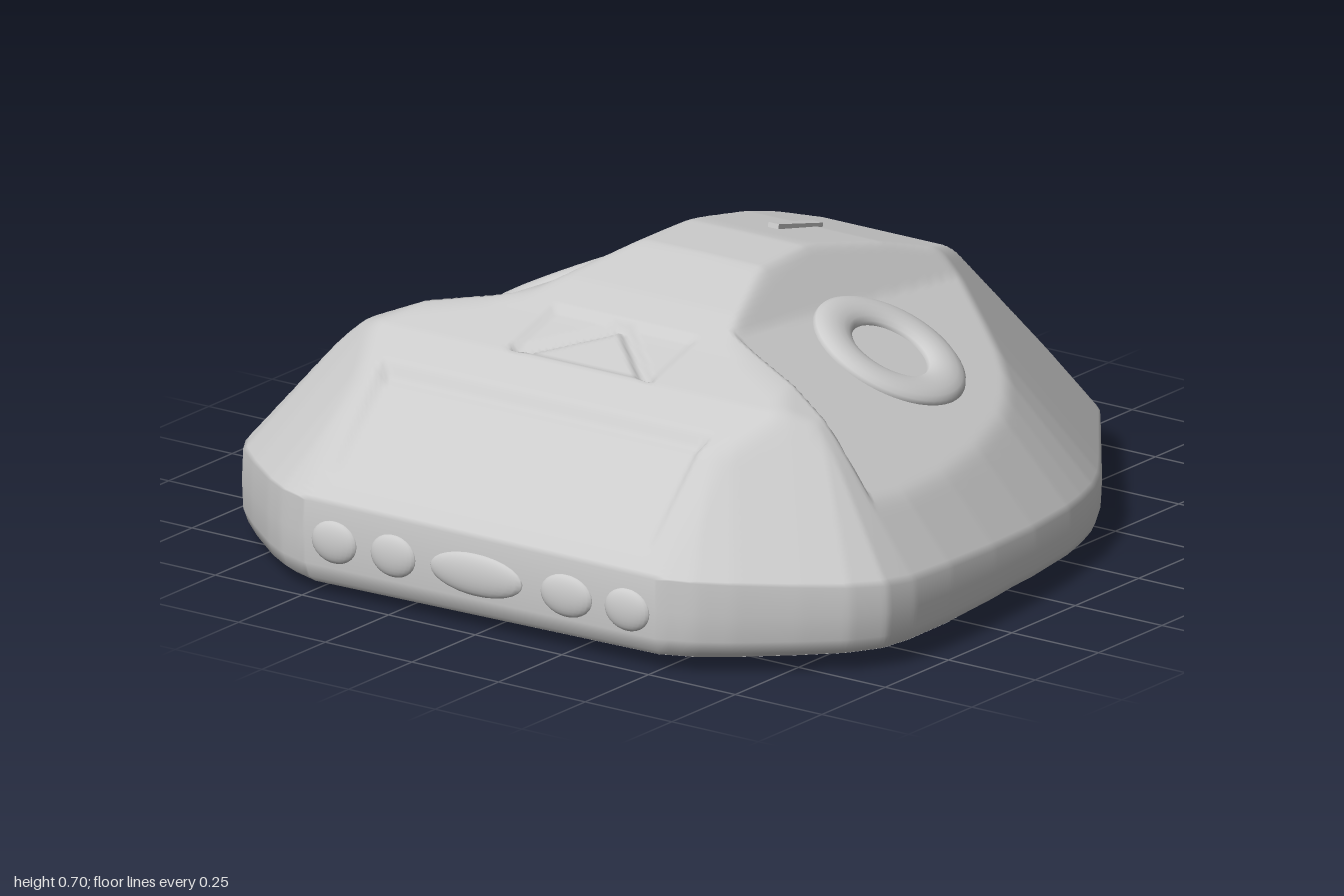
import * as THREE from 'three';

const mat = new THREE.MeshStandardMaterial({ color: 0xcccccc, side: THREE.DoubleSide });
const clamp01 = (v) => Math.min(1, Math.max(0, v));

// Piecewise linear curve through [input, output] pairs
function curve(points, t) {
  if (t <= points[0][0]) return points[0][1];
  for (let i = 1; i < points.length; i++) {
    const [a, va] = points[i - 1], [b, vb] = points[i];
    if (t <= b) return va + (vb - va) * (t - a) / (b - a);
  }
  return points[points.length - 1][1];
}

// Minimum with a softened crease
function softMin(a, b, k) {
  const h = Math.max(k - Math.abs(a - b), 0) / k;
  return Math.min(a, b) - h * h * k * 0.25;
}

// Half width of the footprint along z, ridge height along z, cap height along |x|
const WIDTH = [[-1, 0.32], [-0.985, 0.365], [-0.95, 0.4], [-0.9, 0.435], [-0.75, 0.54], [-0.6, 0.645],
  [-0.5, 0.712], [-0.4, 0.768], [-0.3, 0.808], [-0.2, 0.84], [0, 0.885], [0.2, 0.916], [0.4, 0.936],
  [0.55, 0.938], [0.64, 0.925], [0.72, 0.875], [0.8, 0.79], [0.9, 0.67], [0.95, 0.595], [0.982, 0.51]];
const RIDGE = [[-1, 0.1], [-0.67, 0.54], [-0.35, 0.64], [-0.08, 0.7], [0.1, 0.7], [0.3, 0.645],
  [0.45, 0.595], [0.6, 0.55], [0.75, 0.475], [0.982, 0.24]];
const CAP = [[0, 0.705], [0.17, 0.702], [0.3, 0.62], [0.38, 0.6], [0.53, 0.575], [0.65, 0.525],
  [0.75, 0.45], [0.94, 0.2]];
const Z0 = -1, Z1 = 0.982;
// The tail leans slightly to the right
const shift = (z) => curve([[-1, -0.025], [-0.5, -0.005], [-0.2, 0]], z);

const outline = [...WIDTH.map(([z, w]) => [shift(z) + w, z]),
  ...WIDTH.map(([z, w]) => [shift(z) - w, z]).reverse()];

function edgeDistance(x, z) {
  let best = Infinity;
  outline.forEach(([ax, az], i) => {
    const [bx, bz] = outline[(i + 1) % outline.length];
    const dx = bx - ax, dz = bz - az;
    const t = clamp01(((x - ax) * dx + (z - az) * dz) / (dx * dx + dz * dz));
    best = Math.min(best, Math.hypot(x - ax - dx * t, z - az - dz * t));
  });
  return best;
}

const rimY = (z) => curve([[-1, 0.1], [0, 0.16], [0.6, 0.2], [0.982, 0.23]], z);
const floorY = (x, z) => 0.03 + 0.013 * x - 0.02 * clamp01(1 - Math.abs(z + 0.4) / 0.5);
const eyeX = (side) => (side > 0 ? 0.43 : 0.47);
const scoopPlane = (x, z) => 0.5 - 0.53 * (Math.abs(x) - eyeX(x)) + 0.1 * (z + 0.04);
const boxMask = (x, z, x0, x1, z0, z1, soft) =>
  clamp01(Math.min(x - x0, x1 - x, z - z0, z1 - z) / soft);

// Height of the upper surface
function height(x, z) {
  const ax = Math.abs(x);
  let y = softMin(curve(RIDGE, z), curve(CAP, ax), 0.015);
  y = softMin(y, rimY(z) + 1.22 * edgeDistance(x, z), 0.025);
  // sunken eye planes, steeper beside the ridge and ending in a step at the brow
  const brow = 0.38 + 0.33 * (ax - 0.35);
  const scoop = scoopPlane(x, z) + 0.5 * Math.max(0, 0.28 - ax) + 3 * Math.max(0, z - brow);
  y = softMin(y, scoop, 0.012);
  // front panel recess, deepest at its top edge
  y -= curve([[0.7, 0.024], [0.93, 0.008]], z) * boxMask(x, z, -0.475, 0.465, 0.7, 0.94, 0.02);
  // relief of three triangles
  const groove = clamp01(1.5 - Math.abs(ax - 1.1 * (z - 0.41)) / 0.02);
  y -= boxMask(x, z, -0.21, 0.21, 0.4, 0.59, 0.015) * (0.01 + 0.014 * groove);
  return y;
}

function buildBody() {
  const NX = 144, NZ = 200, pos = [], idx = [];
  for (let j = 0; j <= NZ; j++) {
    const z = Z0 + (Z1 - Z0) * j / NZ, w = curve(WIDTH, z);
    for (let i = 0; i <= NX; i++) {
      const x = shift(z) + w * (2 * i / NX - 1);
      pos.push(x, height(x, z), z);
    }
  }
  const at = (i, j) => j * (NX + 1) + i;
  for (let j = 0; j < NZ; j++) for (let i = 0; i < NX; i++) {
    const a = at(i, j), b = at(i + 1, j), c = at(i + 1, j + 1), d = at(i, j + 1);
    idx.push(a, d, c, a, c, b);
  }
  // border loop, continued downward as a wall with a rounded foot
  let loop = [];
  for (let i = 0; i < NX; i++) loop.push(at(i, 0));
  for (let j = 0; j < NZ; j++) loop.push(at(NX, j));
  for (let i = NX; i > 0; i--) loop.push(at(i, NZ));
  for (let j = NZ; j > 0; j--) loop.push(at(0, j));
  const rim = loop.map((k) => [pos[3 * k], pos[3 * k + 1], pos[3 * k + 2]]);
  const foot = [];
  for (const [scale, t] of [[1.004, 0.6], [1, 0.25], [0.99, 0.08], [0.97, 0]]) {
    const start = pos.length / 3;
    rim.forEach(([x, y, z]) => {
      const base = floorY(x, z);
      pos.push(x * scale, base + (y - base) * t, z * Math.min(scale, 1));
      if (t === 0) foot.push(new THREE.Vector2(x * scale, z * scale));
    });
    const next = loop.map((_, k) => start + k);
    loop.forEach((a, k) => {
      const m = (k + 1) % loop.length;
      idx.push(a, loop[m], next[m], a, next[m], next[k]);
    });
    loop = next;
  }
  const geo = new THREE.BufferGeometry();
  geo.setAttribute('position', new THREE.Float32BufferAttribute(pos, 3));
  geo.setIndex(idx);
  geo.computeVertexNormals();
  return { geo, foot };
}

// Underside plate with its four-sided opening
function buildBase(foot) {
  const shape = new THREE.Shape(foot);
  shape.holes.push(new THREE.Path([[0.454, -0.076], [-0.643, -0.064], [-0.303, 0.751], [0.126, 0.557]]
    .map(([x, z]) => new THREE.Vector2(x, z))));
  const geo = new THREE.ShapeGeometry(shape);
  geo.rotateX(Math.PI / 2);
  const p = geo.attributes.position;
  for (let i = 0; i < p.count; i++) p.setY(i, floorY(p.getX(i), p.getZ(i)));
  geo.computeVertexNormals();
  return geo;
}

export function createModel() {
  const group = new THREE.Group();
  const add = (name, geo) => {
    const mesh = new THREE.Mesh(geo, mat);
    mesh.name = name;
    group.add(mesh);
    return mesh;
  };

  const { geo, foot } = buildBody();
  add('bodyShell', geo);
  add('basePlate', buildBase(foot));

  // Eye rings lying on the sunken planes
  for (const side of [1, -1]) {
    const ring = add(side > 0 ? 'leftEyeRing' : 'rightEyeRing', new THREE.TorusGeometry(0.147, 0.05, 16, 56));
    const x = side * eyeX(side), z = side > 0 ? -0.045 : -0.02;
    ring.scale.z = 0.5;
    ring.position.set(x, scoopPlane(x, z), z);
    ring.quaternion.setFromUnitVectors(new THREE.Vector3(0, 0, 1),
      new THREE.Vector3(side * 0.53, 1, -0.1).normalize());
  }

  // Row of low rounded studs along the front wall
  for (const [x, w] of [[-0.42, 0.065], [-0.25, 0.065], [-0.01, 0.135], [0.25, 0.075], [0.425, 0.065]]) {
    const stud = add('frontStud', new THREE.SphereGeometry(1, 24, 14));
    stud.scale.set(w, 0.052, 0.02);
    stud.position.set(x, 0.14, 0.98);
  }

  // Narrow raised mark on the ridge
  const mark = add('ridgeMark', new THREE.BoxGeometry(0.03, 0.02, 0.18));
  mark.position.set(-0.02, height(-0.02, -0.29), -0.29);
  mark.rotation.x = -0.24;
  return group;
}
